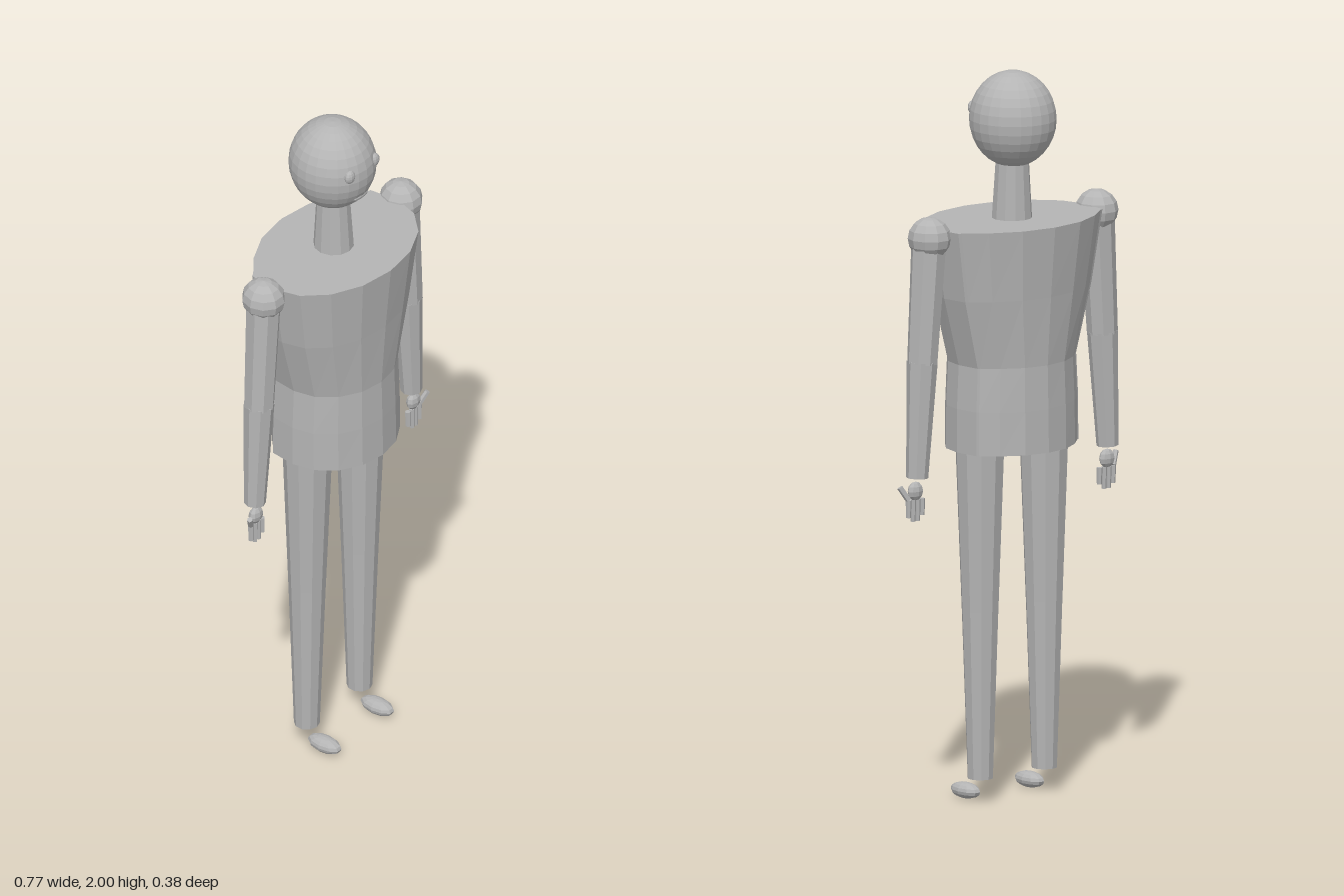
import * as THREE from 'three';

export function createModel() {
  const model = new THREE.Group();
  const clay = new THREE.MeshStandardMaterial({ color: 0xb4b4b4, flatShading: true });
  clay.name = 'grey clay';

  const add = (name, geometry, parent = model) => {
    const mesh = new THREE.Mesh(geometry, clay);
    mesh.name = name;
    parent.add(mesh);
    return mesh;
  };

  // Stretched ball: centre, radii, segment counts
  const ball = (name, c, r, w, h, parent) => {
    const g = new THREE.SphereGeometry(1, w, h);
    g.scale(...r);
    return add(name, g.translate(...c), parent);
  };

  // Tapered limb between two points
  const limb = (name, a, b, ra, rb, sides, parent) => {
    const start = new THREE.Vector3(...a), end = new THREE.Vector3(...b);
    const dir = end.clone().sub(start);
    const g = new THREE.CylinderGeometry(rb, ra, dir.length(), sides);
    const mesh = add(name, g, parent);
    mesh.position.copy(start).add(end).multiplyScalar(0.5);
    mesh.quaternion.setFromUnitVectors(new THREE.Vector3(0, 1, 0), dir.normalize());
    return mesh;
  };

  // Torso: oval rings [y, half width, half depth] with a narrow seam step at the back of each side
  const rings = [[0.97, 0.187, 0.163], [1.09, 0.187, 0.161], [1.21, 0.181, 0.158], [1.4, 0.232, 0.172], [1.595, 0.265, 0.19]];
  const outline = [];
  for (let i = 0; i < 16; i++) {
    const t = (i / 16) * Math.PI * 2;
    const p = [Math.sin(t), Math.cos(t)];
    if (i === 5) outline.push([0.96, -0.45], [0.925, -0.47]);
    else if (i === 11) outline.push([-0.925, -0.47], [-0.96, -0.45]);
    else outline.push(p);
  }
  const n = outline.length, pos = [], index = [];
  for (const [y, hx, hz] of rings) for (const [u, v] of outline) pos.push(u * hx, y, v * hz);
  for (let r = 0; r < rings.length - 1; r++) {
    for (let i = 0; i < n; i++) {
      const a = r * n + i, b = r * n + (i + 1) % n;
      index.push(a, b, b + n, a, b + n, a + n);
    }
  }
  const low = pos.length / 3, high = low + 1, topRow = (rings.length - 1) * n;
  pos.push(0, rings[0][0], 0, 0, rings[rings.length - 1][0], 0);
  for (let i = 0; i < n; i++) {
    const j = (i + 1) % n;
    index.push(low, j, i, high, topRow + i, topRow + j);
  }
  let torso = new THREE.BufferGeometry();
  torso.setAttribute('position', new THREE.Float32BufferAttribute(pos, 3));
  torso.setIndex(index);
  torso = torso.toNonIndexed();
  torso.computeVertexNormals();
  add('torso', torso);

  // Head and neck
  limb('neck', [0, 1.58, -0.008], [0, 1.78, -0.01], 0.056, 0.044, 12);
  ball('head', [0, 1.868, -0.012], [0.117, 0.132, 0.121], 24, 16);
  ball('mouth', [0, 1.8, 0.083], [0.034, 0.012, 0.011], 10, 6);

  for (const s of [1, -1]) {
    const side = s > 0 ? 'left' : 'right';
    ball(side + 'Eye', [s * 0.052, 1.89, 0.09], [0.018, 0.02, 0.013], 10, 8);

    // Arm
    const arm = new THREE.Group();
    arm.name = side + 'Arm';
    model.add(arm);
    ball('shoulder', [s * 0.295, 1.577, -0.013], [0.058, 0.058, 0.061], 10, 8, arm);
    limb('upperArm', [s * 0.295, 1.59, -0.012], [s * 0.318, 1.235, -0.01], 0.049, 0.042, 8, arm);
    limb('forearm', [s * 0.318, 1.24, -0.01], [s * 0.336, 0.922, -0.01], 0.042, 0.03, 8, arm);

    // Hand
    const hand = new THREE.Group();
    hand.name = side + 'Hand';
    arm.add(hand);
    ball('palm', [s * 0.338, 0.885, -0.005], [0.025, 0.026, 0.016], 8, 6, hand);
    [0.816, 0.802, 0.802, 0.814].forEach((tip, i) => {
      const x = s * (0.313 + i * 0.016);
      limb('finger' + (i + 1), [x, 0.862, -0.004], [x, tip, -0.003], 0.008, 0.007, 6, hand);
    });
    limb('thumb', [s * 0.361, 0.862, -0.004], [s * 0.381, 0.898, 0.009], 0.008, 0.008, 6, hand);

    // Leg and foot
    const leg = new THREE.Group();
    leg.name = side + 'Leg';
    model.add(leg);
    limb('thigh', [s * 0.113, 0.99, -0.008], [s * 0.113, 0.53, -0.009], 0.068, 0.051, 10, leg);
    limb('shin', [s * 0.113, 0.535, -0.009], [s * 0.113, 0.065, -0.01], 0.051, 0.035, 10, leg);
    ball('foot', [s * 0.113, 0.022, 0.052], [0.028, 0.022, 0.054], 10, 8, leg);
  }
  return model;
}
